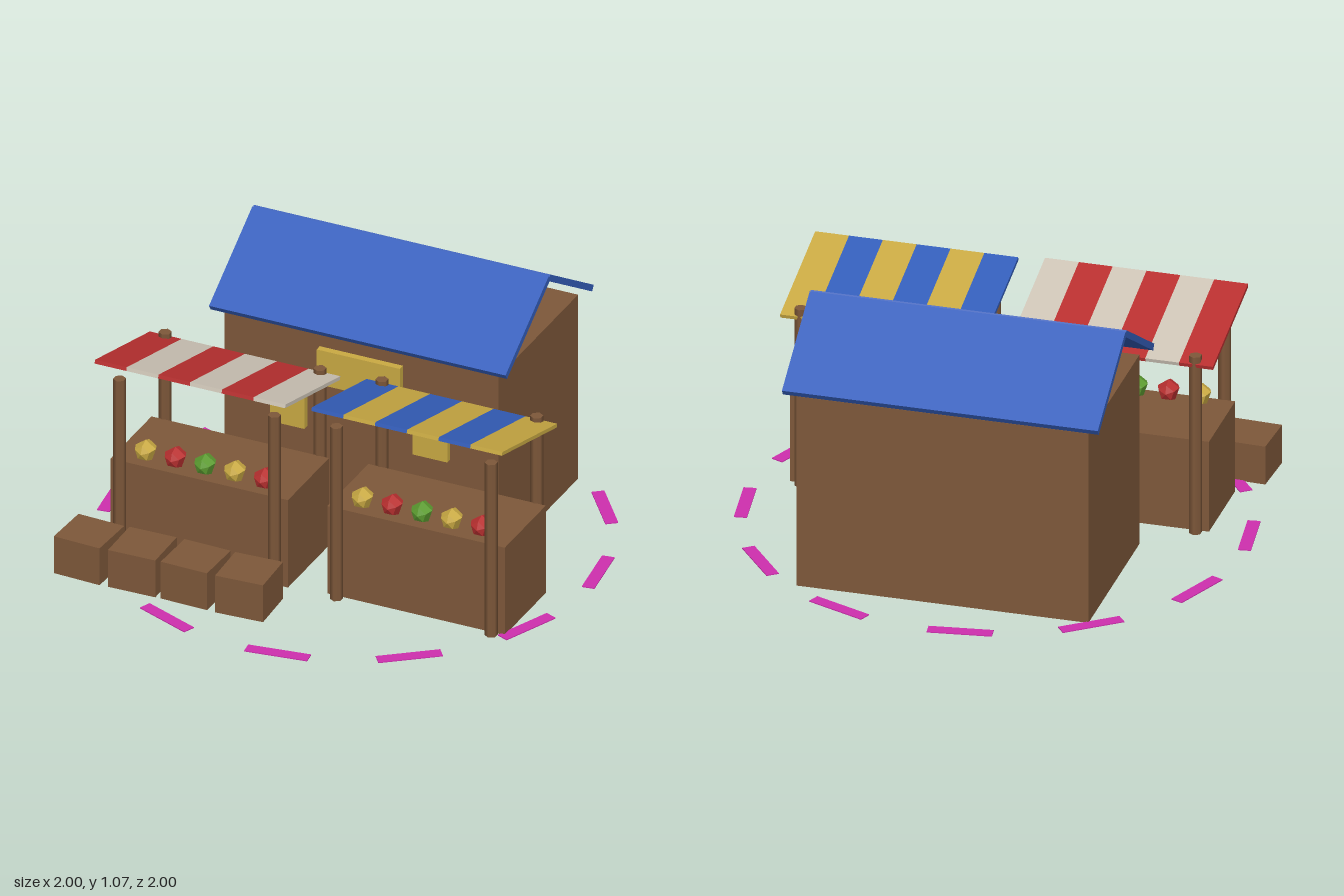
import * as THREE from 'three';

const mat = (name, color, extra = {}) => {
  const m = new THREE.MeshStandardMaterial({ color, ...extra });
  m.name = name;
  return m;
};

export function createModel() {
  const wood = mat('wood brown', 0x7e583a);
  const blue = mat('roof blue', 0x345ebb);
  const red = mat('red', 0xba3030);
  const cream = mat('cream', 0xcec5b7);
  const yellow = mat('yellow', 0xcaaa43);
  const green = mat('green', 0x5c9c30);
  const magenta = mat('magenta', 0xce2fae);

  const model = new THREE.Group();
  model.name = 'marketSquare';

  const add = (parent, name, geometry, material, x, y, z) => {
    const mesh = new THREE.Mesh(geometry, material);
    mesh.name = name;
    mesh.position.set(x, y, z);
    parent.add(mesh);
    return mesh;
  };
  const group = (name, x = 0, z = 0) => {
    const g = new THREE.Group();
    g.name = name;
    g.position.set(x, 0, z);
    model.add(g);
    return g;
  };
  const box = (w, h, d) => new THREE.BoxGeometry(w, h, d);

  // House: plain block, two open roof slabs, sign and windows on the front
  const house = group('house', 0, -0.4);
  add(house, 'houseWalls', box(1.15, 0.8, 0.7), wood, 0, 0.4, 0);
  for (const s of [-1, 1]) {
    const slab = add(house, s > 0 ? 'frontRoof' : 'backRoof', box(1.245, 0.026, 0.45), blue, 0, 0.944, s * 0.19);
    slab.rotation.x = s * 0.56;
    add(house, 'window', box(0.145, 0.17, 0.026), yellow, s * 0.3, 0.475, 0.363);
  }
  add(house, 'sign', box(0.35, 0.15, 0.028), yellow, 0, 0.675, 0.364);

  // Low-poly fruit with its pole pointing forward
  const fruitShape = new THREE.SphereGeometry(0.045, 5, 4, -Math.PI / 2).rotateX(Math.PI / 2).toNonIndexed();
  fruitShape.computeVertexNormals();
  const postShape = new THREE.CylinderGeometry(0.025, 0.025, 0.75, 6);

  // Stall: counter, four posts, striped sloping awning and a row of fruit
  const buildStall = (name, x, z, stripes) => {
    const stall = group(name, x, z);
    add(stall, 'counter', box(0.745, 0.38, 0.36), wood, 0, 0.19, 0);
    for (const sx of [-1, 1]) {
      for (const sz of [-1, 1]) {
        add(stall, 'post', postShape, wood, sx * 0.325, 0.375, sz * 0.2);
      }
    }
    const awning = new THREE.Group();
    awning.name = 'awning';
    awning.position.set(0, 0.775, 0.02);
    awning.rotation.x = -0.248;
    stall.add(awning);
    const w = 0.8 / 6;
    for (let i = 0; i < 6; i++) {
      add(awning, 'awningStripe', box(w, 0.015, 0.497), stripes[i % 2], (i - 2.5) * w, 0, 0);
    }
    [yellow, red, green, yellow, red].forEach((m, i) => {
      add(stall, 'fruit', fruitShape, m, (i - 2) * 0.125, 0.42, 0.127);
    });
  };
  buildStall('rightStall', -0.427, 0.302, [red, cream]);
  buildStall('leftStall', 0.472, 0.278, [blue, yellow]);

  // Slightly turned crates in front of one stall
  const crates = group('crates', 0, 0.67);
  [-0.05, 0.02, -0.03, 0.05].forEach((turn, i) => {
    add(crates, 'crate', box(0.197, 0.16, 0.197), wood, -0.8 + i * 0.224, 0.08, 0).rotation.y = turn;
  });

  // Ring of thin ground strips
  const ring = group('groundRing');
  for (let i = 0; i < 12; i++) {
    const a = -0.134 + (i * Math.PI) / 6;
    const strip = add(ring, 'groundStrip', box(0.05, 0.004, 0.25), magenta, Math.cos(a) * 0.965, 0.002, Math.sin(a) * 0.965);
    strip.rotation.y = -a;
  }

  return model;
}
